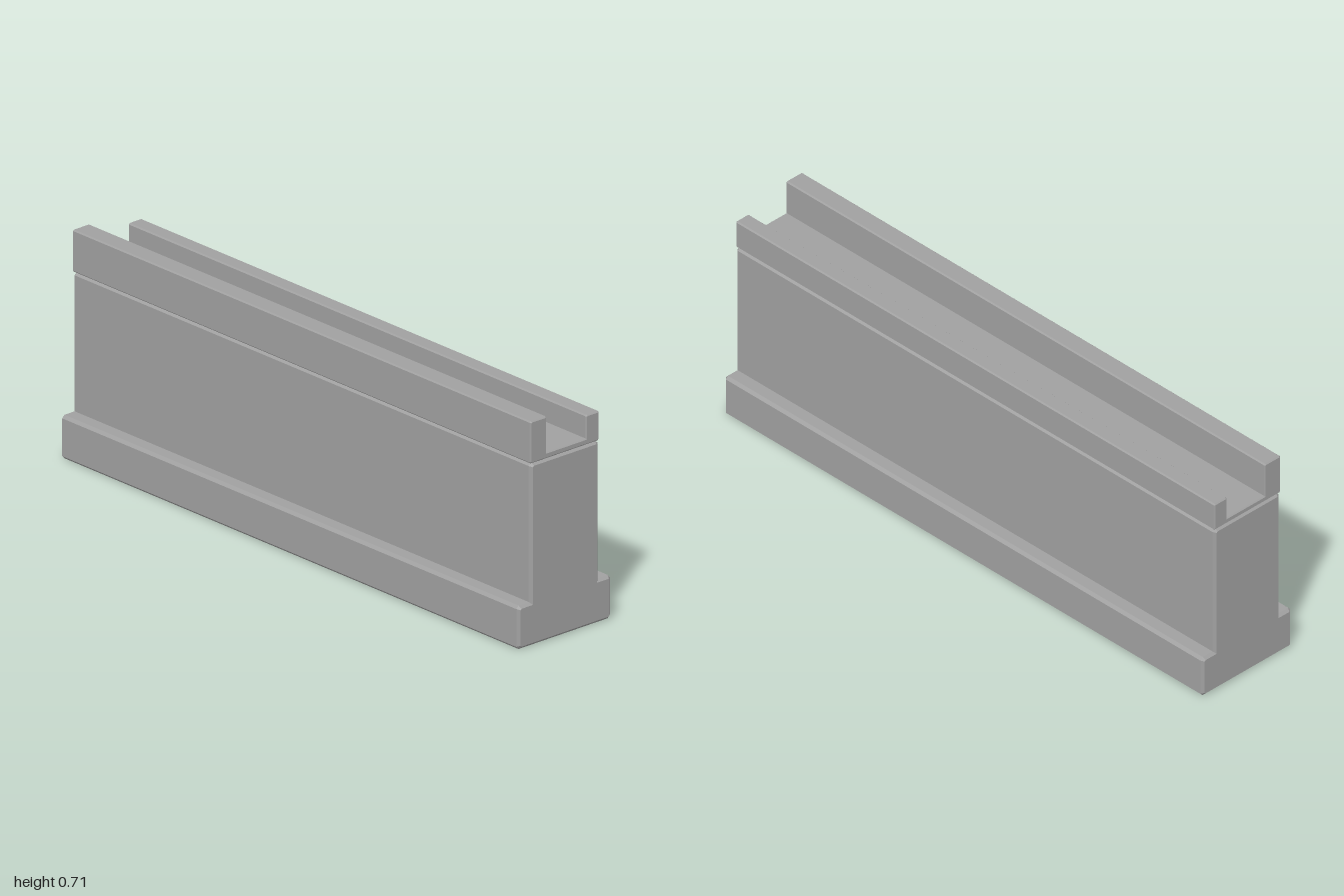
import * as THREE from 'three';

const LENGTH = 2;

// Closed outline (listed counter-clockwise) with every convex corner cut at 45 degrees.
function chamferedShape(points, cut) {
  const corners = points.map(p => new THREE.Vector2(...p));
  const n = corners.length;
  const outline = [];
  corners.forEach((p, i) => {
    const toPrev = corners[(i + n - 1) % n].clone().sub(p).normalize();
    const toNext = corners[(i + 1) % n].clone().sub(p).normalize();
    if (toNext.cross(toPrev) > 0) {
      outline.push(p.clone().addScaledVector(toPrev, cut), p.clone().addScaledVector(toNext, cut));
    } else {
      outline.push(p);
    }
  });
  return new THREE.Shape(outline);
}

// Cross-section swept along x, with bevelled ends.
function beam(name, points, cut, material) {
  const geometry = new THREE.ExtrudeGeometry(chamferedShape(points, cut), {
    depth: LENGTH - 2 * cut,
    bevelEnabled: true,
    bevelSegments: 1,
    bevelSize: cut,
    bevelThickness: cut,
    bevelOffset: -cut,
  });
  geometry.translate(0, 0, -(LENGTH - 2 * cut) / 2);
  geometry.rotateY(Math.PI / 2); // profile x becomes -z
  const mesh = new THREE.Mesh(geometry, material);
  mesh.name = name;
  return mesh;
}

export function createModel() {
  const concrete = new THREE.MeshStandardMaterial({ color: 0xa0a0a0 });
  concrete.name = 'concrete grey';

  const model = new THREE.Group();
  model.name = 'parapetWall';

  // Wall standing on a wider footing
  model.add(beam('wallAndFooting', [
    [-0.185, 0], [0.185, 0], [0.185, 0.138], [0.136, 0.138],
    [0.136, 0.578], [-0.136, 0.578], [-0.136, 0.138], [-0.185, 0.138],
  ], 0.009, concrete));

  // Channel cap with a taller front lip
  model.add(beam('channelCap', [
    [-0.137, 0.578], [0.136, 0.578], [0.136, 0.672], [0.083, 0.672],
    [0.083, 0.598], [-0.071, 0.598], [-0.071, 0.712], [-0.137, 0.712],
  ], 0.004, concrete));

  return model;
}
